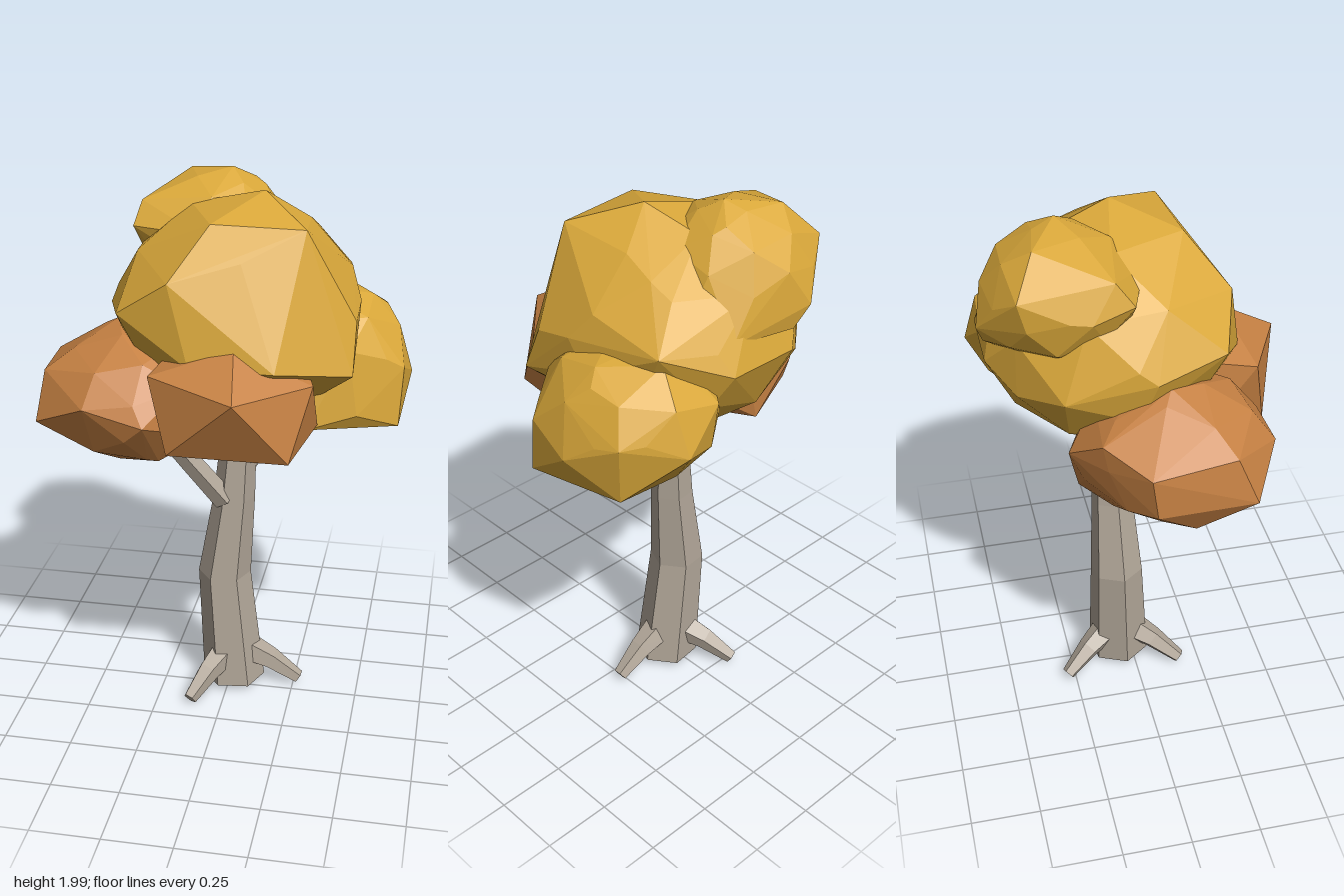
import * as THREE from 'three';
import { ConvexGeometry } from 'three/addons/geometries/ConvexGeometry.js';

const mat = (name, color) => {
  const m = new THREE.MeshStandardMaterial({ color, flatShading: true });
  m.name = name;
  return m;
};

export function createModel() {
  const bark = mat('grey bark', 0xb2a799);
  const gold = mat('golden leaves', 0xdaa83a);
  const rust = mat('rust leaves', 0xc68143);
  const tree = new THREE.Group();
  tree.name = 'tree';

  const add = (name, geometry, material) => {
    geometry.computeVertexNormals();
    const mesh = new THREE.Mesh(geometry, material);
    mesh.name = name;
    tree.add(mesh);
  };

  // Faceted limb through rings of [x, y, z, radius]; level keeps rings horizontal
  const limb = (name, rings, sides, level = false) => {
    const n = rings.length - 1;
    const pts = rings.map(r => new THREE.Vector3(r[0], r[1], r[2]));
    const up = new THREE.Vector3(0, 1, 0);
    const turns = pts.map((p, i) => {
      const dir = pts[Math.min(i + 1, n)].clone().sub(pts[Math.max(i - 1, 0)]).normalize();
      return new THREE.Quaternion().setFromUnitVectors(up, level ? up : dir);
    });
    const g = new THREE.CylinderGeometry(1, 1, 1, sides, n, false, Math.PI / 2 + 0.12);
    const pos = g.attributes.position;
    const v = new THREE.Vector3();
    for (let i = 0; i < pos.count; i++) {
      v.fromBufferAttribute(pos, i);
      const k = Math.round((v.y + 0.5) * n);
      v.y = 0;
      v.multiplyScalar(rings[k][3]).applyQuaternion(turns[k]).add(pts[k]);
      pos.setXYZ(i, v.x, v.y, v.z);
    }
    add(name, g, bark);
  };

  // Leaf mass: a faceted ellipsoid core wrapped together with its most prominent corners
  const foliage = (name, centre, radii, turn, corners, material) => {
    const core = new THREE.IcosahedronGeometry(1, 1);
    core.rotateX(turn).rotateY(turn * 2).scale(...radii).translate(...centre);
    const pos = core.attributes.position;
    const points = corners.map(c => new THREE.Vector3(...c));
    for (let i = 0; i < pos.count; i++) points.push(new THREE.Vector3().fromBufferAttribute(pos, i));
    add(name, new ConvexGeometry(points), material);
  };

  // Trunk and branches
  limb('trunk', [
    [0.015, 0.03, -0.05, 0.118], [-0.025, 0.48, -0.063, 0.1],
    [0.01, 0.8, -0.07, 0.078], [0.03, 1.12, -0.08, 0.062], [0.04, 1.4, -0.08, 0.05],
  ], 6, true);
  limb('rightBranch', [[-0.02, 0.8, -0.03, 0.045], [-0.14, 0.97, 0.02, 0.041], [-0.27, 1.16, 0.08, 0.036]], 5);
  limb('leftBranch', [[0.04, 0.93, -0.09, 0.05], [0.13, 1.06, -0.11, 0.044], [0.27, 1.25, -0.15, 0.036]], 5);

  // Three spreading roots
  for (let i = 0; i < 3; i++) {
    const a = i * Math.PI * 2 / 3;
    const at = (r, y, w) => [0.01 + Math.cos(a) * r, y, -0.055 + Math.sin(a) * r, w];
    limb('root' + (i + 1), [at(0.06, 0.145, 0.058), at(0.15, 0.105, 0.044), at(0.26, 0.033, 0.027)], 5);
  }

  // Rounded leaf masses
  foliage('mainCrown', [0.02, 1.55, -0.09], [0.435, 0.385, 0.43], 0.3, [
    [0.12, 1.97, -0.05], [0.29, 1.89, 0.15], [-0.03, 1.9, 0.17], [-0.15, 1.73, 0.31], [-0.34, 1.6, 0.25],
    [-0.07, 1.46, 0.365], [0.22, 1.46, 0.37], [0.46, 1.4, 0.18], [0.46, 1.6, -0.05], [0.46, 1.57, 0.1],
    [0.28, 1.81, -0.25], [0.39, 1.63, -0.4], [0.17, 1.53, -0.52], [-0.1, 1.53, -0.52],
    [-0.38, 1.5, -0.3], [-0.42, 1.56, 0], [0.32, 1.28, 0.1],
  ], gold);
  foliage('topCrown', [-0.09, 1.76, -0.26], [0.27, 0.225, 0.265], 0.5, [
    [-0.03, 2.0, -0.26], [-0.2, 1.97, -0.36], [0.04, 1.95, -0.34], [-0.31, 1.85, -0.43],
    [-0.15, 1.69, -0.545], [-0.1, 1.61, -0.52], [0.14, 1.62, -0.48], [0.19, 1.72, -0.35],
    [0.15, 1.85, -0.2], [-0.37, 1.78, -0.2], [-0.33, 1.9, -0.12], [-0.35, 1.82, -0.06], [-0.1, 1.82, 0.02],
  ], gold);
  foliage('leftCrown', [0.33, 1.365, -0.2], [0.29, 0.25, 0.32], 0.2, [
    [0.54, 1.53, -0.25], [0.64, 1.29, -0.22], [0.61, 1.15, -0.02], [0.62, 1.36, -0.05],
    [0.385, 1.33, -0.54], [0.57, 1.38, -0.41], [0.3, 1.62, -0.28], [0.35, 1.59, -0.08],
    [0.35, 1.59, -0.38], [0.4, 1.49, -0.49], [0.47, 1.22, 0.09], [0.3, 1.18, 0.15],
    [0.28, 1.12, 0], [0.4, 1.11, -0.25], [0.54, 1.16, -0.38], [0.22, 1.45, -0.5],
  ], gold);
  foliage('rightCrown', [-0.32, 1.26, 0.07], [0.305, 0.25, 0.33], 0.6, [
    [-0.64, 1.35, -0.07], [-0.63, 1.2, 0.29], [-0.61, 1.37, 0.22], [-0.64, 1.2, -0.05],
    [-0.43, 1.3, 0.4], [-0.22, 1.25, 0.41], [-0.27, 1.0, 0.08], [-0.56, 1.07, 0.1],
    [-0.38, 1.52, 0.05], [-0.49, 1.4, -0.2], [-0.36, 1.3, -0.29], [-0.25, 1.08, -0.24], [-0.2, 1.07, 0.26],
  ], rust);

  // Angular twelve-cornered front leaf mass, the back half mirrored through its centre
  const centre = new THREE.Vector3(0.07, 1.32, 0.27);
  const half = [
    [0.11, 1.41, 0.545], [-0.2, 1.44, 0.4], [0.08, 1.53, 0.34],
    [0.34, 1.4, 0.29], [0.28, 1.17, 0.43], [-0.13, 1.18, 0.45],
  ].map(p => new THREE.Vector3(...p));
  const opposite = half.map(p => centre.clone().multiplyScalar(2).sub(p));
  add('frontCrown', new ConvexGeometry([...half, ...opposite]), rust);

  return tree;
}
